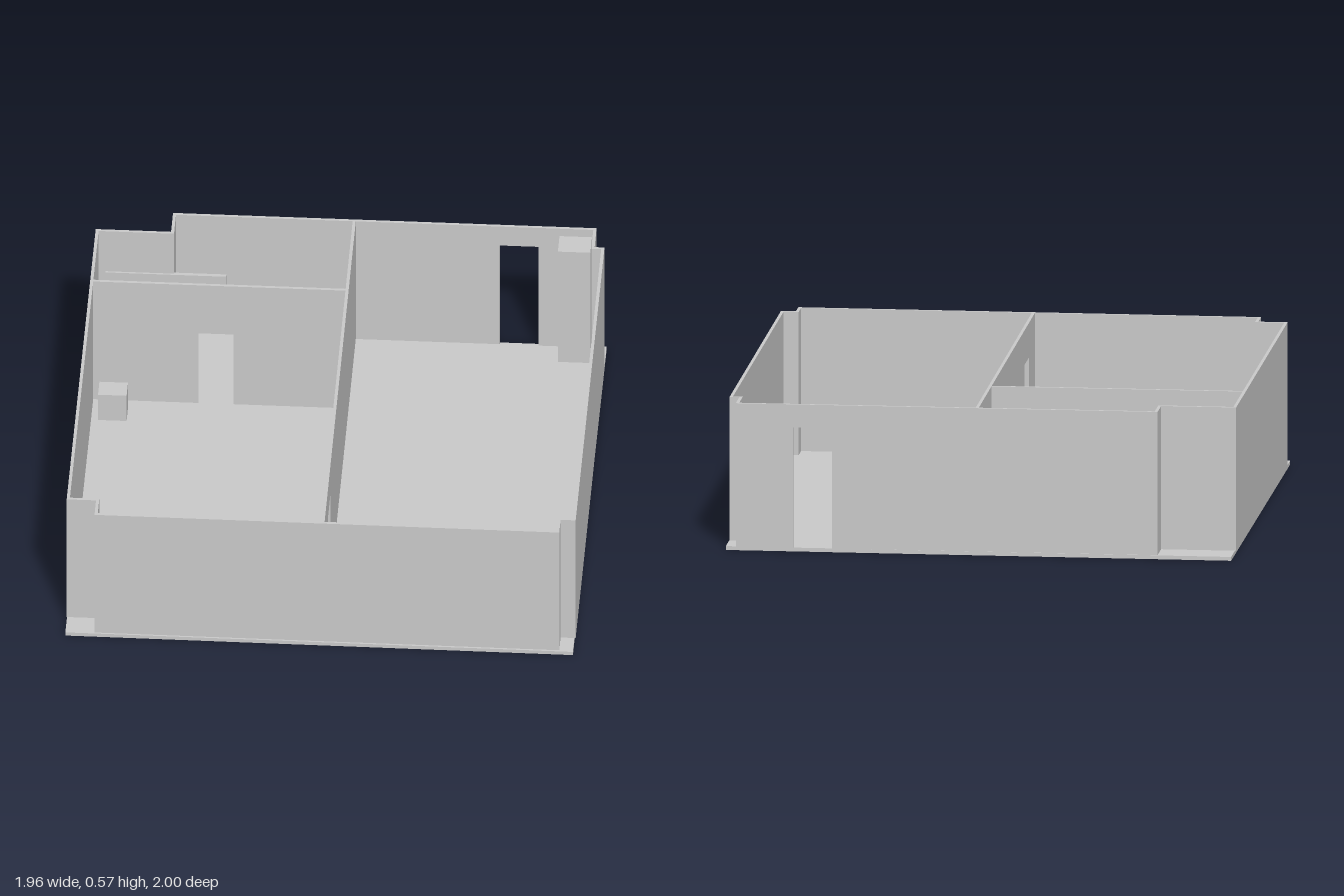
import * as THREE from 'three';

const FLOOR = 0.015, TOP = 0.575, T = 0.012;

export function createModel() {
  const group = new THREE.Group();
  const mat = new THREE.MeshStandardMaterial({ color: 0xcccccc, flatShading: true });

  const add = (name, geo) => {
    const mesh = new THREE.Mesh(geo, mat);
    mesh.name = name;
    group.add(mesh);
    return mesh;
  };

  // Box given by its x, y and z ranges
  const box = (name, x0, x1, y0, y1, z0, z1) => {
    const mesh = add(name, new THREE.BoxGeometry(x1 - x0, y1 - y0, z1 - z0));
    mesh.position.set((x0 + x1) / 2, (y0 + y1) / 2, (z0 + z1) / 2);
    return mesh;
  };

  // Upright wall between two plan points; door = [start, end, top], measured along the wall
  const wall = (name, [ax, az], [bx, bz], door, overlap = T / 2) => {
    const len = Math.hypot(bx - ax, bz - az);
    const pts = [[-overlap, FLOOR]];
    if (door) {
      const [s, e, h] = door;
      pts.push([s, FLOOR], [s, h], [e, h], [e, FLOOR]);
    }
    pts.push([len + overlap, FLOOR], [len + overlap, TOP], [-overlap, TOP]);
    const shape = new THREE.Shape(pts.map(p => new THREE.Vector2(...p)));
    const geo = new THREE.ExtrudeGeometry(shape, { depth: T, bevelEnabled: false });
    geo.translate(0, 0, -T / 2);
    const mesh = add(name, geo);
    mesh.position.set(ax, 0, az);
    mesh.rotation.y = -Math.atan2(bz - az, bx - ax);
  };

  // Floor slab, set very slightly askew to the walls
  const floor = box('floor', -0.977, 0.977, 0, FLOOR, -0.995, 0.995);
  floor.rotation.y = -0.004;

  // Outer walls, stepping in at all four corners
  const outline = [
    [-0.972, -0.864], [-0.682, -0.864], [-0.682, -0.987], [0.936, -0.987],
    [0.936, -0.864], [0.974, -0.864], [0.972, 0.902], [0.914, 0.902],
    [0.914, 0.985], [-0.863, 0.979], [-0.863, 0.885], [-0.976, 0.885],
  ];
  const backDoor = [0.57 + 0.682, 0.72 + 0.682, 0.485];
  outline.forEach((p, i) => {
    const isBack = i === 2;
    wall(isBack ? 'backWall' : 'outerWall', p, outline[(i + 1) % outline.length], isBack ? backDoor : null);
  });

  // Partitions with doorways
  wall('centreWall', [0.01, -0.987], [0.01, 0.982], [0.62 + 0.987, 0.77 + 0.987, 0.44], 0);
  wall('crossWall', [-0.972, -0.535], [0.01, -0.535], [0.41, 0.545, 0.44], 0);

  // Study furniture
  box('desk', -0.375, -0.22, FLOOR, 0.2, -0.981, -0.71);
  box('screen', -0.31, -0.295, 0.2, 0.3, -0.885, -0.755);
  box('stool', -0.158, -0.048, FLOOR, 0.14, -0.68, -0.57).rotation.y = -0.3;
  box('cabinet', -0.966, -0.88, FLOOR, 0.2, -0.73, -0.541);
  box('wallPanel', -0.94, -0.475, 0.2, 0.385, -0.865, -0.85);

  // Furniture in the larger rooms
  box('smallCube', -0.94, -0.83, FLOOR, 0.135, -0.48, -0.395);
  box('bench', 0.016, 0.48, FLOOR, 0.14, 0.855, 0.978);
  box('cornerColumn', 0.8, 0.925, FLOOR, 0.54, -0.981, -0.88);

  return group;
}
